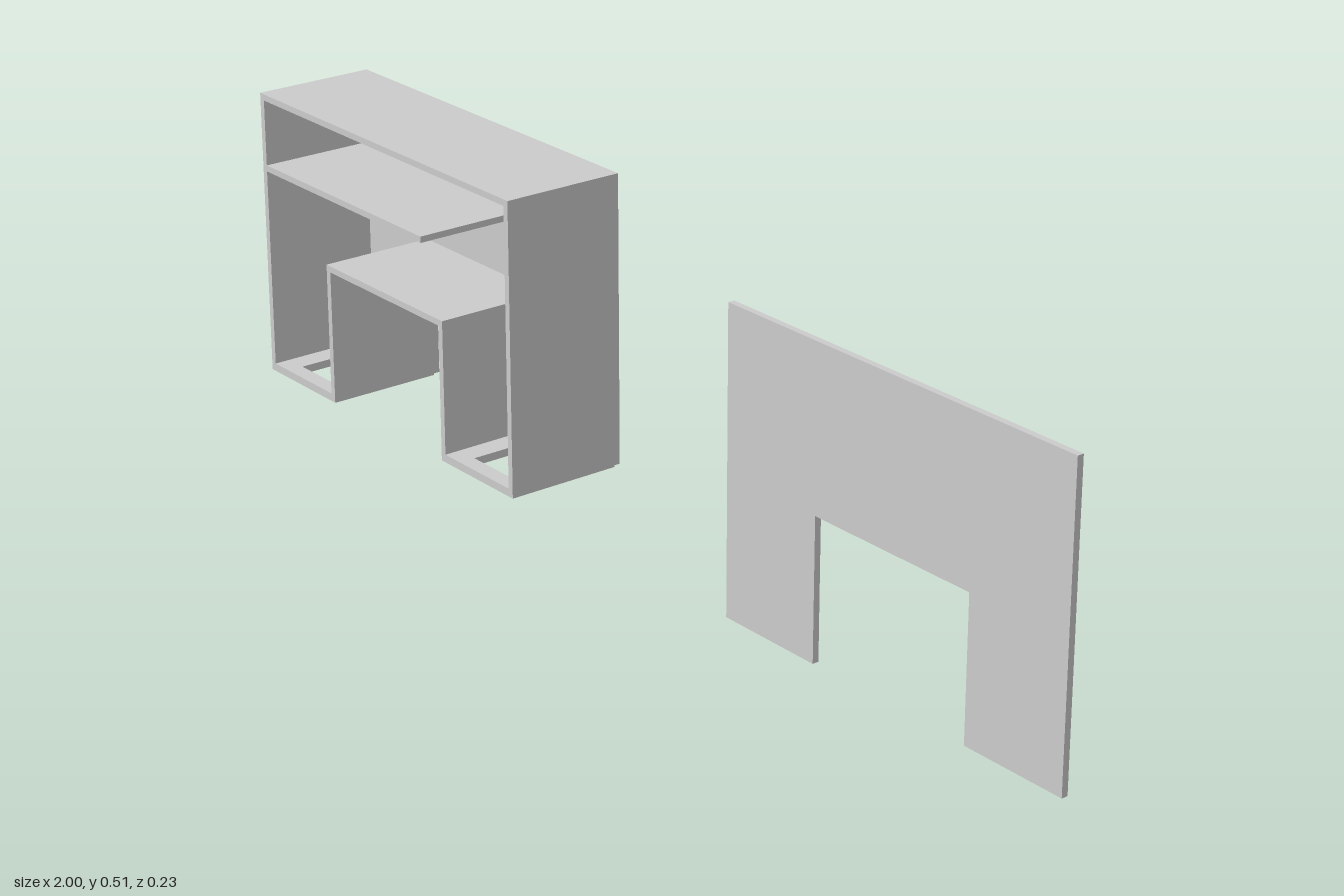
import * as THREE from 'three';

const material = new THREE.MeshStandardMaterial({ color: 0xcccccc, flatShading: true });
const T = 0.011;            // sheet thickness
const W = 0.72;             // overall width
const H = 0.51;             // overall height
const Y0 = 0.003;           // lower edge of the walls
const LEG = 0.2;            // leg width
const ARCH = 0.24;          // height of the opening
const BACK = -0.104, FRONT = 0.104;

export function createModel() {
  const model = new THREE.Group();

  const add = (parent, name, geometry) => {
    const mesh = new THREE.Mesh(geometry, material);
    mesh.name = name;
    parent.add(mesh);
    return mesh;
  };

  // Board running the full depth, given by its x and y extents
  const board = (parent, name, x0, x1, y0, y1) => {
    const mesh = add(parent, name, new THREE.BoxGeometry(x1 - x0, y1 - y0, FRONT - BACK));
    mesh.position.set((x0 + x1) / 2, (y0 + y1) / 2, (FRONT + BACK) / 2);
  };

  // Flat arch-shaped sheet, shared by the back and the loose front cover
  const archSheet = () => {
    const r = W / 2, i = r - LEG;
    const shape = new THREE.Shape([
      [-r, Y0], [-i, Y0], [-i, ARCH], [i + 0.005, ARCH], [i + 0.005, Y0], [r, Y0], [r, H], [-r, H],
    ].map(([x, y]) => new THREE.Vector2(x, y)));
    return new THREE.ExtrudeGeometry(shape, { depth: T, bevelEnabled: false });
  };

  // Open housing
  const housing = new THREE.Group();
  housing.name = 'housing';
  housing.position.x = -0.64;
  model.add(housing);
  const r = W / 2, i = r - LEG;
  add(housing, 'backPanel', archSheet()).position.z = BACK - T;
  board(housing, 'topBoard', -r, r, H - T, H);
  board(housing, 'archBoard', -i - T, i + T, ARCH, ARCH + T);
  board(housing, 'shelf', -r + T, 0.115, 0.371, 0.371 + T);
  for (const s of [-1, 1]) {
    const outer = [s * r, s * (r - T)].sort((a, b) => a - b);
    const inner = [s * i, s * (i + T)].sort((a, b) => a - b);
    board(housing, 'outerWall', ...outer, Y0, H - T);
    board(housing, 'innerWall', ...inner, Y0, ARCH);

    // Foot plate with a rectangular opening
    const rect = (Path, w, d) => new Path([
      [-w, -d], [w, -d], [w, d], [-w, d],
    ].map(([x, y]) => new THREE.Vector2(x, y)));
    const plate = rect(THREE.Shape, LEG / 2, FRONT);
    plate.holes.push(rect(THREE.Path, 0.047, 0.075));
    const foot = add(housing, 'footPlate',
      new THREE.ExtrudeGeometry(plate, { depth: T + Y0, bevelEnabled: false }));
    foot.rotation.x = -Math.PI / 2;
    foot.position.x = s * (r - LEG / 2);
  }

  // Loose front cover standing beside the housing
  const cover = add(model, 'frontCover', archSheet());
  cover.position.set(0.64, 0, FRONT);
  return model;
}
